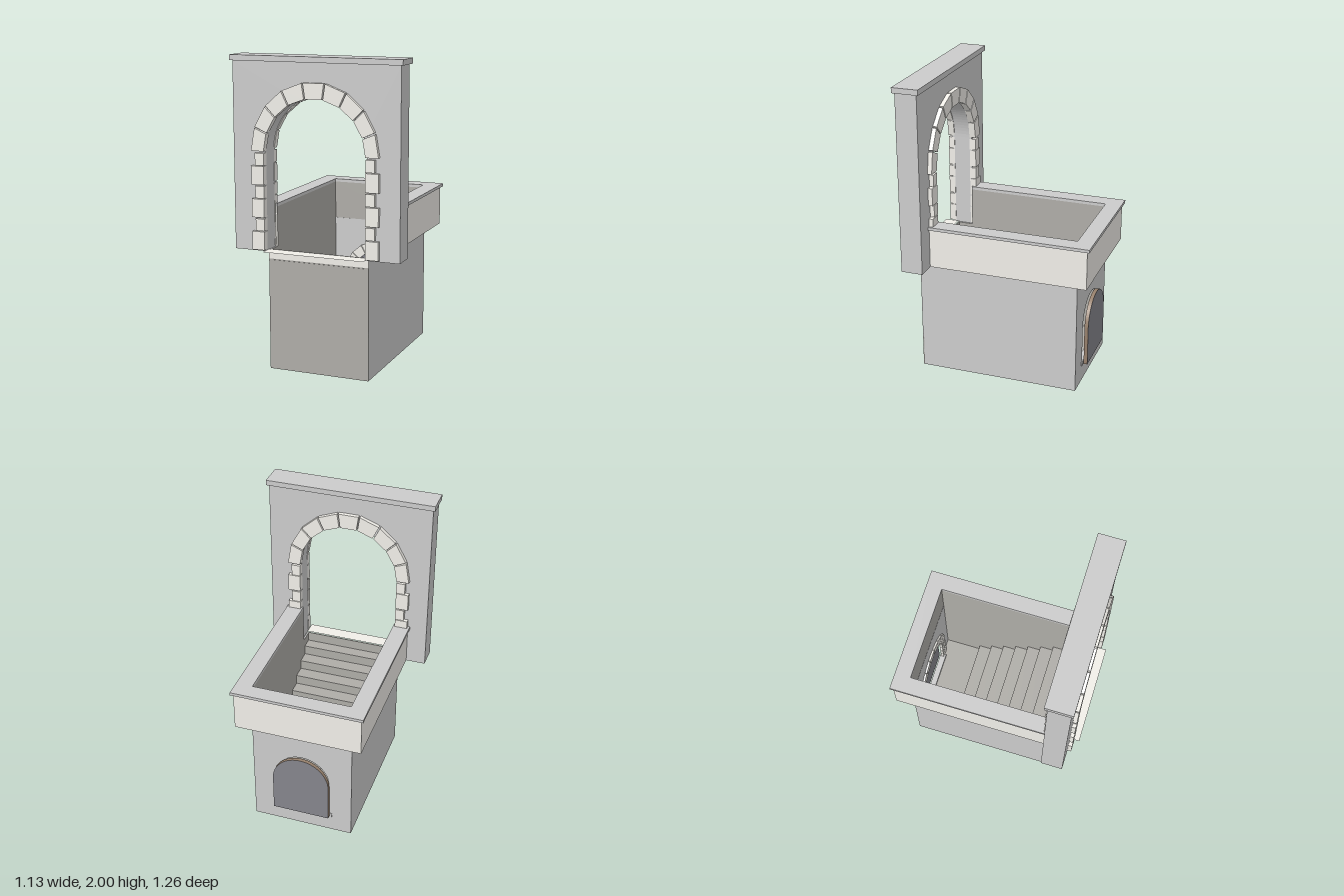
import * as THREE from 'three';

const grey = new THREE.MeshStandardMaterial({ color: 0xcccccc });
const stoneMat = new THREE.MeshStandardMaterial({ color: 0xf0eee8 });
const slabMat = new THREE.MeshStandardMaterial({ color: 0xf0eee8, side: THREE.DoubleSide });
const innerMat = new THREE.MeshStandardMaterial({ color: 0xaeaca7, side: THREE.DoubleSide });
const doorFace = new THREE.MeshStandardMaterial({ color: 0x85858c });
const doorEdge = new THREE.MeshStandardMaterial({ color: 0x96806c });

function add(parent, name, geometry, material = grey) {
  const mesh = new THREE.Mesh(geometry, material);
  mesh.name = name;
  parent.add(mesh);
}

// box given by its limits on each axis
function box(parent, name, [x0, x1], [y0, y1], [z0, z1], material = grey) {
  const g = new THREE.BoxGeometry(x1 - x0, y1 - y0, z1 - z0);
  g.translate((x0 + x1) / 2, (y0 + y1) / 2, (z0 + z1) / 2);
  add(parent, name, g, material);
}

function extrude(shape, z0, z1) {
  const g = new THREE.ExtrudeGeometry(shape, { depth: z1 - z0, bevelEnabled: false, curveSegments: 24 });
  return g.translate(0, 0, z0);
}

// outline of an arched opening, from its right foot over the top to its left foot
function archPath(path, rx, ry, base, spring) {
  path.lineTo(rx, base);
  path.lineTo(rx, spring);
  path.absellipse(0, spring, rx, ry, 0, Math.PI, false);
  path.lineTo(-rx, base);
}

// ring of nine wedge stones on alternating long and short jamb stones
function stoneSurround(parent, name, o) {
  const group = new THREE.Group();
  group.name = name;
  const count = 9, step = Math.PI / count, gap = 0.022;
  for (let i = 0; i < count; i++) {
    const a = i * step + gap / 2, b = (i + 1) * step - gap / 2;
    const corner = (t, rx, ry) => new THREE.Vector2(rx * Math.cos(t), o.spring + ry * Math.sin(t));
    const wedge = new THREE.Shape([
      corner(a, o.inX, o.inY), corner(a, o.outX, o.outY),
      corner(b, o.outX, o.outY), corner(b, o.inX, o.inY)]);
    add(group, 'archStone', extrude(wedge, o.z0, o.z1), stoneMat);
  }
  const pair = (o.spring - o.base) / o.pairs;
  for (let i = 0; i < o.pairs; i++) {
    const y = o.base + i * pair, split = y + pair * 0.59;
    for (const side of [-1, 1]) {
      const span = (w) => side > 0 ? [o.inX, w] : [-w, -o.inX];
      box(group, 'longJambStone', span(o.outX), [y, split - 0.005], [o.z0, o.z1], stoneMat);
      box(group, 'shortJambStone', span(o.shortX), [split, y + pair - 0.008], [o.z0, o.z1], stoneMat);
    }
  }
  parent.add(group);
}

// U-shaped band round the two sides and the back
function uBand(parent, name, outerX, innerX, backZ, innerZ, y0, y1, material) {
  const frontZ = 0.43;
  const s = new THREE.Shape();
  s.moveTo(-outerX, -frontZ).lineTo(-innerX, -frontZ).lineTo(-innerX, -innerZ).lineTo(innerX, -innerZ)
    .lineTo(innerX, -frontZ).lineTo(outerX, -frontZ).lineTo(outerX, -backZ).lineTo(-outerX, -backZ);
  add(parent, name, extrude(s, y0, y1).rotateX(-Math.PI / 2), material);
}

export function createModel() {
  const model = new THREE.Group();
  model.name = 'archedStairwell';

  // gateway wall with coping and stone surround on both faces
  const gate = new THREE.Group();
  gate.name = 'gateway';
  model.add(gate);
  const wall = new THREE.Shape();
  wall.moveTo(-0.55, 0.78).lineTo(-0.55, 1.965).lineTo(0.55, 1.965).lineTo(0.55, 0.78);
  archPath(wall, 0.338, 0.343, 0.78, 1.41);
  add(gate, 'gateWall', extrude(wall, 0.43, 0.573));
  box(gate, 'gateCoping', [-0.565, 0.565], [1.965, 2], [0.413, 0.587]);
  const surround = { inX: 0.336, inY: 0.34, outX: 0.42, outY: 0.44, shortX: 0.395, spring: 1.41, base: 0.79, pairs: 3 };
  stoneSurround(gate, 'frontSurround', { ...surround, z0: 0.555, z1: 0.598 });
  stoneSurround(gate, 'backSurround', { ...surround, z0: 0.402, z1: 0.445 });

  // parapet, its inner lining and its coping
  uBand(model, 'parapet', 0.42, 0.327, -0.615, -0.527, 0.78, 1.04, stoneMat);
  uBand(model, 'parapetLining', 0.327, 0.325, -0.527, -0.525, 0.78, 1.04, innerMat);
  uBand(model, 'parapetCoping', 0.435, 0.325, -0.632, -0.525, 1.04, 1.06, grey);

  // shaft walls below ground level
  for (const side of [-1, 1]) {
    const span = (a, b) => side > 0 ? [a, b] : [-b, -a];
    box(model, 'shaftSide', span(0.327, 0.336), [0, 0.782], [-0.53, 0.535]);
    box(model, 'shaftSideLining', span(0.325, 0.327), [0, 0.782], [-0.526, 0.53], innerMat);
  }
  box(model, 'shaftFront', [-0.336, 0.336], [0, 0.725], [0.528, 0.536], innerMat);
  box(model, 'thresholdBand', [-0.336, 0.336], [0.725, 0.784], [0.528, 0.536], stoneMat);
  const back = new THREE.Shape();
  back.moveTo(-0.336, 0).lineTo(0.336, 0).lineTo(0.336, 0.782).lineTo(-0.336, 0.782);
  const doorway = new THREE.Path();
  doorway.moveTo(-0.185, 0.125);
  archPath(doorway, 0.185, 0.185, 0.125, 0.38);
  back.holes.push(doorway);
  add(model, 'shaftBack', extrude(back, -0.532, -0.524));

  // flight of steps going down to the landing
  const stairs = new THREE.Group();
  stairs.name = 'stairs';
  model.add(stairs);
  const steps = 10, run = 0.0905, rise = 0.0665, top = 0.786, front = 0.63;
  for (let i = 0; i <= steps; i++) {
    const y = top - i * rise, z0 = front - i * run;
    const z1 = i < steps ? z0 - run : -0.526;
    const name = i === 0 ? 'threshold' : i < steps ? 'tread' : 'landing';
    const tread = new THREE.PlaneGeometry(i === 0 ? 0.672 : 0.65, z0 - z1);
    tread.rotateX(-Math.PI / 2).translate(0, y, (z0 + z1) / 2);
    add(stairs, name, tread, i === 0 ? slabMat : innerMat);
    if (i === steps) continue;
    const riser = new THREE.PlaneGeometry(0.65, y).rotateY(Math.PI).translate(0, y / 2, Math.min(z1, 0.527));
    add(stairs, 'riser', riser, innerMat);
  }

  // arched door at the foot of the steps
  const door = new THREE.Group();
  door.name = 'lowerDoor';
  model.add(door);
  const leaf = new THREE.Shape();
  leaf.moveTo(-0.19, 0.125);
  archPath(leaf, 0.19, 0.19, 0.125, 0.38);
  add(door, 'doorLeaf', extrude(leaf, -0.57, -0.545), [doorFace, doorEdge]);
  stoneSurround(door, 'doorSurround', {
    inX: 0.183, inY: 0.183, outX: 0.25, outY: 0.25, shortX: 0.23,
    spring: 0.38, base: 0.125, pairs: 2, z0: -0.526, z1: -0.51 });
  box(door, 'doorSill', [-0.205, 0.205], [0.115, 0.14], [-0.538, -0.497]);

  return model;
}
